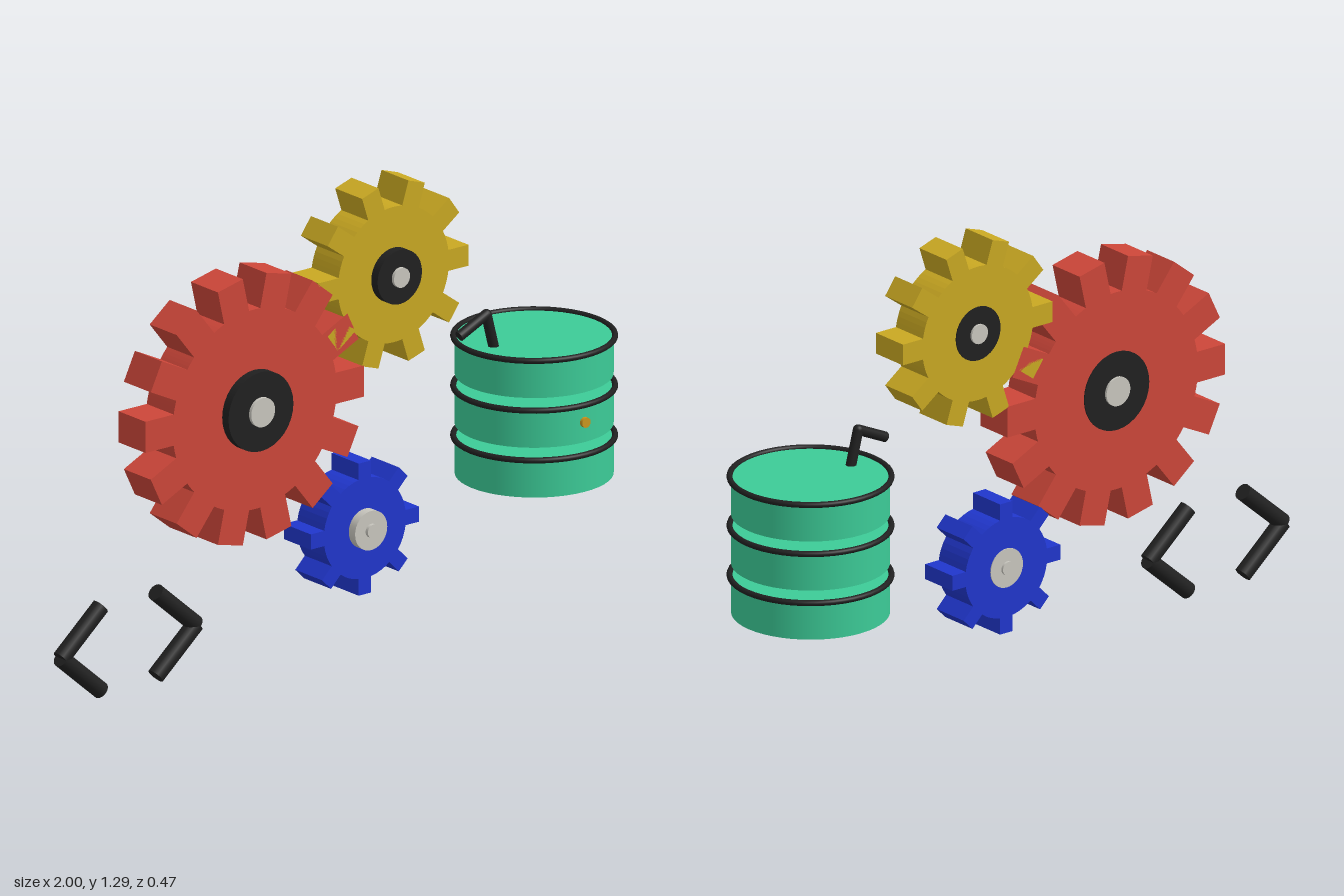
import * as THREE from 'three';

const mat = (name, color) => {
  const m = new THREE.MeshStandardMaterial({ color });
  m.name = name;
  return m;
};

export function createModel() {
  const red = mat('red', 0xcc4639);
  const yellow = mat('yellow', 0xc9a822);
  const blue = mat('blue', 0x2036cc);
  const green = mat('green', 0x3ccb97);
  const black = mat('black', 0x202020);
  const silver = mat('silver', 0xc8c6be);
  const gold = mat('gold', 0xc8961e);

  const model = new THREE.Group();
  model.name = 'gearsAndBarrel';

  const add = (parent, name, geometry, material, x = 0, y = 0, z = 0) => {
    const mesh = new THREE.Mesh(geometry, material);
    mesh.name = name;
    mesh.position.set(x, y, z);
    parent.add(mesh);
    return mesh;
  };

  // Straight rod between two points
  const rod = (parent, name, a, b, r, material) => {
    const dir = b.clone().sub(a);
    const mesh = add(parent, name, new THREE.CylinderGeometry(r, r, dir.length(), 20), material);
    mesh.position.copy(a).add(b).multiplyScalar(0.5);
    mesh.quaternion.setFromUnitVectors(new THREE.Vector3(0, 1, 0), dir.normalize());
  };

  // Disc along z, from z0 to z1
  const disc = (parent, name, r, z0, z1, material) =>
    add(parent, name, new THREE.CylinderGeometry(r, r, z1 - z0, 32).rotateX(Math.PI / 2),
      material, 0, 0, (z0 + z1) / 2);

  // Toothed wheel with parallel-sided teeth
  const toothedWheel = (teeth, root, tip, width) => {
    const shape = new THREE.Shape();
    const half = Math.asin(width / 2 / root);
    const step = (Math.PI * 2) / teeth;
    for (let i = 0; i < teeth; i++) {
      const a = i * step, c = Math.cos(a), s = Math.sin(a);
      const base = Math.cos(half) * root;
      [[base, -1], [tip, -1], [tip, 1], [base, 1]].forEach(([d, side], k) => {
        const w = side * width / 2;
        const x = c * d - s * w, y = s * d + c * w;
        if (i === 0 && k === 0) shape.moveTo(x, y); else shape.lineTo(x, y);
      });
      // Rounded valley to the next tooth
      for (let k = 1; k < 4; k++) {
        const t = a + half + (step - 2 * half) * k / 4;
        shape.lineTo(Math.cos(t) * root, Math.sin(t) * root);
      }
    }
    return new THREE.ExtrudeGeometry(shape, { depth: 0.12, bevelEnabled: false }).translate(0, 0, -0.06);
  };

  const gears = [
    { name: 'largeGear', x: -0.293, y: 0.735, teeth: 14, root: 0.295, tip: 0.393, width: 0.092,
      color: red, hub: 0.117, hubColor: black, axle: 0.043 },
    { name: 'mediumGear', x: 0.207, y: 1.027, teeth: 10, root: 0.2, tip: 0.27, width: 0.062,
      color: yellow, hub: 0.08, hubColor: black, axle: 0.029 },
    { name: 'smallGear', x: 0.104, y: 0.3, teeth: 8, root: 0.148, tip: 0.195, width: 0.045,
      color: blue, hub: 0.058, hubColor: silver, axle: 0.02 },
  ];
  for (const g of gears) {
    const gear = new THREE.Group();
    gear.name = g.name;
    gear.position.set(g.x, g.y, 0);
    model.add(gear);
    add(gear, 'toothedWheel', toothedWheel(g.teeth, g.root, g.tip, g.width), g.color);
    disc(gear, 'hub', g.hub, -0.063, 0.088, g.hubColor);
    disc(gear, 'axle', g.axle, -0.07, 0.098, silver);
  }

  // Barrel of three stacked drums with dark rims
  const barrel = new THREE.Group();
  barrel.name = 'barrel';
  barrel.position.x = 0.762;
  model.add(barrel);
  for (const bottom of [0.31, 0.457, 0.604]) {
    add(barrel, 'drum', new THREE.CylinderGeometry(0.223, 0.223, 0.11, 48), green, 0, bottom + 0.055, 0);
    add(barrel, 'rim', new THREE.TorusGeometry(0.227, 0.0085, 10, 48).rotateX(Math.PI / 2),
      black, 0, bottom + 0.111, 0);
  }
  add(barrel, 'button', new THREE.CylinderGeometry(0.015, 0.015, 0.02, 20).rotateX(Math.PI / 2),
    gold, 0, 0.517, 0.223);

  // Bent spout on the lid
  const spout = new THREE.Group();
  spout.name = 'spout';
  model.add(spout);
  const bend = new THREE.Vector3(0.59, 0.813, 0);
  rod(spout, 'spoutNeck', new THREE.Vector3(0.618, 0.705, 0), bend, 0.015, black);
  rod(spout, 'spoutTip', bend, new THREE.Vector3(0.492, 0.768, 0), 0.015, black);
  add(spout, 'spoutElbow', new THREE.SphereGeometry(0.015, 16, 12), black, bend.x, bend.y, 0);

  // Pair of mirrored angle brackets
  for (const side of [-1, 1]) {
    const bracket = new THREE.Group();
    bracket.name = side < 0 ? 'rightBracket' : 'leftBracket';
    bracket.position.set(-0.742, 0.143, 0.052);
    model.add(bracket);
    for (const v of [-1, 1]) {
      rod(bracket, v > 0 ? 'upperArm' : 'lowerArm', new THREE.Vector3(side * 0.242, 0, 0),
        new THREE.Vector3(side * 0.099, v * 0.124, 0), 0.025, black);
    }
  }

  return model;
}
